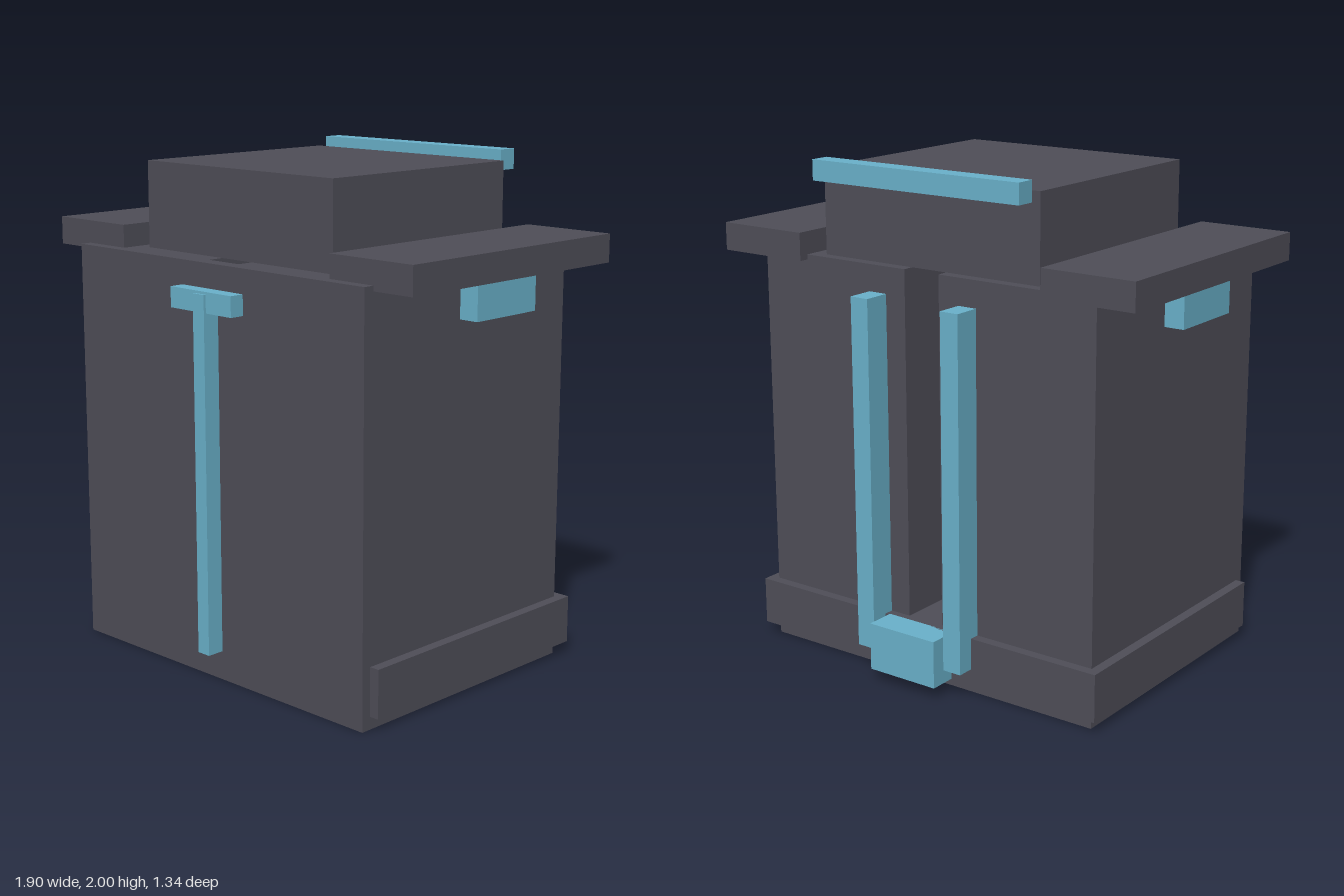
import * as THREE from 'three';

export function createModel() {
  const group = new THREE.Group();
  const shell = new THREE.MeshStandardMaterial({ color: 0x4f4e58 });
  shell.name = 'charcoal';
  const accent = new THREE.MeshStandardMaterial({ color: 0x6ab2cb });
  accent.name = 'sky blue';

  // Box given by its extents along each axis
  function box(name, material, [x0, x1], [y0, y1], [z0, z1]) {
    const mesh = new THREE.Mesh(new THREE.BoxGeometry(x1 - x0, y1 - y0, z1 - z0), material);
    mesh.position.set((x0 + x1) / 2, (y0 + y1) / 2, (z0 + z1) / 2);
    mesh.name = name;
    group.add(mesh);
  }

  // Body: U-shaped plan with a deep slot open at the back
  const plan = new THREE.Shape([
    [-0.77, -0.6], [0.77, -0.6], [0.77, 0.52], [0.08, 0.52],
    [0.08, -0.54], [-0.08, -0.54], [-0.08, 0.52], [-0.77, 0.52],
  ].map(([x, y]) => new THREE.Vector2(x, y)));
  const bodyGeometry = new THREE.ExtrudeGeometry(plan, { depth: 1.62, bevelEnabled: false });
  bodyGeometry.rotateX(-Math.PI / 2);
  const body = new THREE.Mesh(bodyGeometry, shell);
  body.name = 'body';
  group.add(body);

  // Base band and raised top
  box('baseBand', shell, [-0.81, 0.81], [0.05, 0.24], [-0.56, 0.56]);
  box('head', shell, [-0.5, 0.5], [1.62, 1.96], [-0.475, 0.475]);

  // Front T-shaped strip
  box('frontStrip', accent, [-0.03, 0.03], [0.115, 1.515], [0.59, 0.67]);
  box('frontCrossbar', accent, [-0.165, 0.165], [1.445, 1.525], [0.58, 0.66]);

  // Back block and top bar
  box('backBlock', accent, [-0.155, 0.155], [0.05, 0.24], [-0.67, -0.55]);
  box('topBar', accent, [-0.475, 0.475], [1.92, 2.0], [-0.57, -0.49]);

  // Mirrored shoulders, under-shoulder blocks and back rails
  for (const [side, s] of [['left', 1], ['right', -1]]) {
    const span = (a, b) => (s > 0 ? [a, b] : [-b, -a]);
    box(side + 'Shoulder', shell, span(0.56, 0.95), [1.6, 1.71], [-0.56, 0.555]);
    box(side + 'ShoulderBlock', accent, span(0.83, 0.91), [1.46, 1.6], [-0.165, 0.165]);
    box(side + 'BackRail', accent, span(0.17, 0.25), [0.115, 1.515], [-0.63, -0.51]);
  }

  return group;
}
